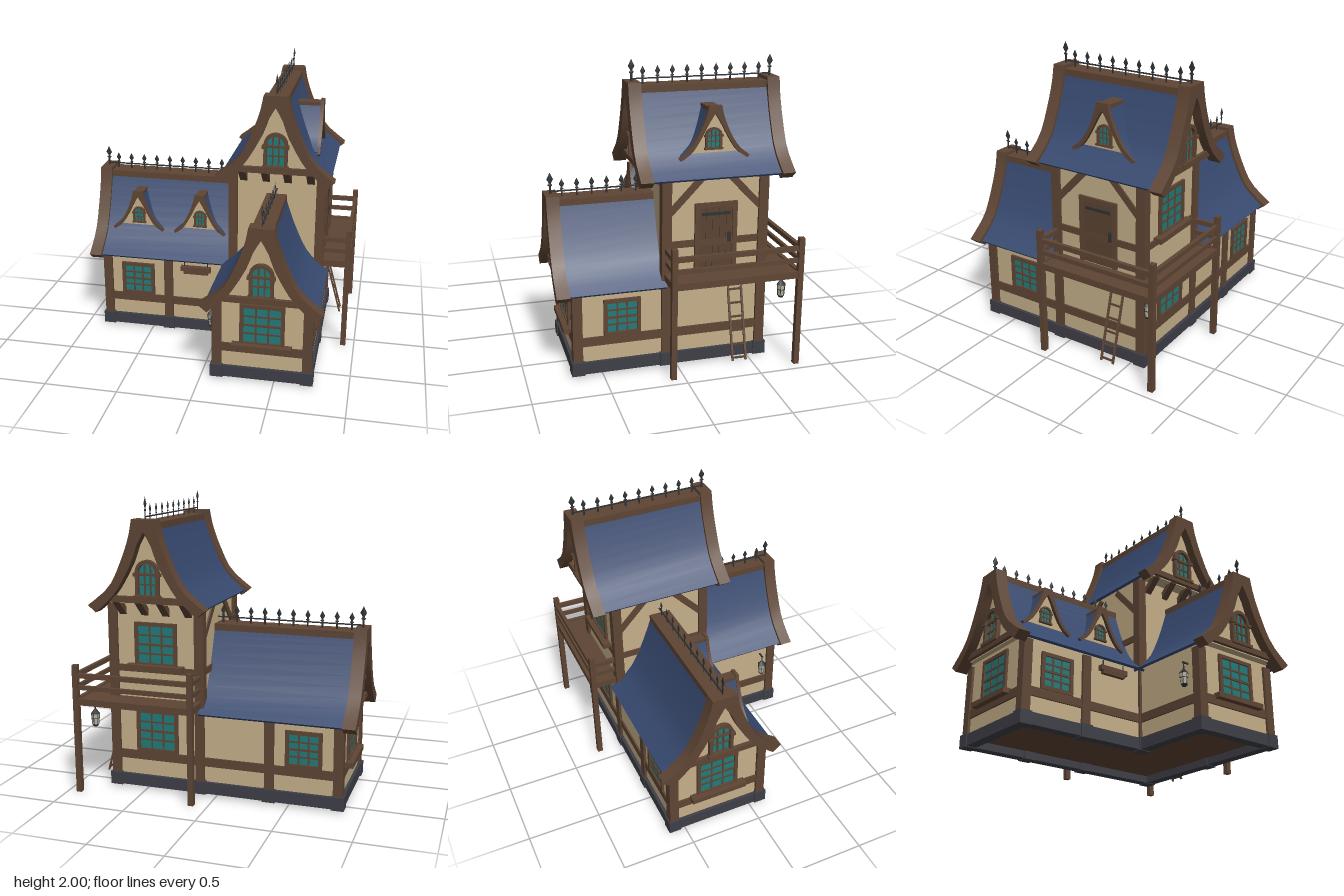
import * as THREE from 'three';
import { toCreasedNormals } from 'three/addons/utils/BufferGeometryUtils.js';

const mat = (name, color) => Object.assign(new THREE.MeshStandardMaterial({ color }), { name });
const plaster = mat('plaster', 0xc5af89), wood = mat('timber', 0x5e4534), doorWood = mat('door planks', 0x5a4232);
const blue = mat('roof blue', 0x37496f), stone = mat('stone', 0x3e3f47);
const glass = mat('teal glass', 0x217b7a), iron = mat('iron', 0x2f3235), pale = mat('lantern glass', 0xc4bda8);

const V = (x, y, z) => new THREE.Vector3(x, y, z);
function add(parent, name, geo, m, x = 0, y = 0, z = 0) {
  const mesh = new THREE.Mesh(geo, m);
  mesh.name = name;
  mesh.position.set(x, y, z);
  parent.add(mesh);
  return mesh;
}
const box = (p, name, m, w, h, d, x, y, z) => add(p, name, new THREE.BoxGeometry(w, h, d), m, x, y, z);
function group(parent, name, x = 0, y = 0, z = 0, rotY = 0) {
  const g = new THREE.Group();
  g.name = name;
  g.position.set(x, y, z);
  g.rotation.y = rotY;
  parent.add(g);
  return g;
}
// Straight timber between two points
function beam(parent, name, m, a, b, w, h) {
  const mesh = new THREE.Mesh(new THREE.BoxGeometry(w, h, a.distanceTo(b)), m);
  mesh.name = name;
  mesh.position.copy(a).add(b).multiplyScalar(0.5);
  mesh.lookAt(b);
  parent.add(mesh);
}

// Swept gable outlines: right half, y measured down from the gable top
const curve = (pts) => new THREE.SplineCurve(pts.map(([x, y]) => new THREE.Vector2(x, y))).getPoints(10);
const mirrored = (half) => new THREE.Shape([...half,
  ...half.filter((p) => p.x > 1e-6).reverse().map((p) => new THREE.Vector2(-p.x, p.y))]);
const bargeShape = mirrored([
  ...curve([[0.08, 0], [0.105, -0.12], [0.165, -0.28], [0.25, -0.44], [0.4, -0.565]]),
  ...curve([[0.345, -0.61], [0.25, -0.525], [0.18, -0.44], [0.09, -0.28], [0.05, -0.17], [0, -0.08]])]);
const dormerBargeShape = mirrored([
  ...curve([[0.07, 0], [0.1, -0.13], [0.17, -0.31], [0.27, -0.48], [0.395, -0.59]]),
  ...curve([[0.37, -0.62], [0.25, -0.53], [0.15, -0.37], [0.07, -0.21], [0, -0.09]])]);
const roofShape = mirrored([
  ...curve([[0.065, -0.05], [0.09, -0.13], [0.15, -0.29], [0.235, -0.45], [0.372, -0.57]]),
  ...curve([[0.362, -0.583], [0.222, -0.468], [0.133, -0.3], [0.072, -0.14], [0, -0.07]])]);
const infillShape = mirrored([
  ...curve([[0, -0.065], [0.055, -0.13], [0.115, -0.28], [0.2, -0.43], [0.31, -0.535]]),
  new THREE.Vector2(0.31, -0.55)]);
const extrude = (shape, depth) => toCreasedNormals(
  new THREE.ExtrudeGeometry(shape, { depth, bevelEnabled: false, curveSegments: 10 }), 0.6);

function archShape(w, h, y0) {
  const s = new THREE.Shape();
  s.moveTo(-w, y0).lineTo(w, y0).lineTo(w, y0 + h - w);
  s.absarc(0, y0 + h - w, w, 0, Math.PI, false);
  s.lineTo(-w, y0);
  return s;
}
function archWindow(parent, z, rotY) {
  const g = group(parent, 'archedWindow', 0, -0.51, z, rotY);
  const frame = archShape(0.08, 0.25, 0);
  frame.holes.push(archShape(0.058, 0.205, 0.022));
  add(g, 'archFrame', extrude(frame, 0.03), wood);
  add(g, 'archGlass', new THREE.ShapeGeometry(archShape(0.062, 0.21, 0.02), 10), glass, 0, 0, 0.006);
  for (const x of [-0.02, 0.02]) box(g, 'muntin', wood, 0.009, 0.2, 0.012, x, 0.12, 0.01);
  box(g, 'muntin', wood, 0.12, 0.009, 0.012, 0, 0.09, 0.01);
  box(g, 'archTransom', wood, 0.12, 0.016, 0.02, 0, 0.155, 0.012);
  for (const s of [-1, 1]) box(g, 'archCapital', wood, 0.036, 0.022, 0.04, s * 0.072, 0.155, 0.02);
  box(g, 'archSill', wood, 0.18, 0.022, 0.04, 0, 0.008, 0.02);
  return g;
}

// Flat pointed iron spike
const spikeGeo = new THREE.LatheGeometry([[0, 0], [0.05, 0], [0.05, 0.4], [0.1, 0.42], [0.1, 0.47], [0.05, 0.49],
  [0.05, 0.55], [0.145, 0.7], [0, 1]].map(([x, y]) => new THREE.Vector2(x, y)), 6);
function spike(parent, name, y, z, h) {
  add(parent, name, spikeGeo, iron, 0, y, z).scale.set(h * 0.3, h, h);
}

// Gabled roof running back from its front board at local z = 0
function gable(parent, name, [x, y, z], rotY, length, { scale = 1, widen = 1, both = false, dormer = false, spikes = 0 } = {}) {
  const g = group(parent, name, x, y, z, rotY);
  g.scale.set(scale * widen, scale, scale);
  const L = length / scale, D = dormer ? 0.045 : 0.085, inset = 0.065;
  const back = both ? inset : 0, lip = D - 0.025;
  add(g, 'roofCovering', extrude(roofShape, L - lip - (both ? lip : 0)), blue, 0, 0, both ? -L + lip : -L);
  add(g, 'gableWall', extrude(infillShape, L - inset - back), plaster, 0, 0, -L + back);
  box(g, 'ridgeBeam', wood, 0.14, 0.05, L - 0.02, 0, -0.047, -L / 2);
  for (const end of both ? [0, 1] : [0]) {
    add(g, 'bargeBoard', extrude(dormer ? dormerBargeShape : bargeShape, D), wood, 0, 0, end ? -L : -D);
    if (!dormer) box(g, 'gableBeam', wood, 0.58, 0.042, 0.04, 0, -0.522, end ? -L + 0.06 : -0.06);
    archWindow(g, end ? -L + inset : -inset, end * Math.PI).scale.x = dormer ? 1.15 : 1;
    if (spikes) spike(g, 'finial', -0.01, end ? -L + 0.04 : -0.04, 0.15);
  }
  if (spikes) {
    const stop = both ? L - 0.04 : L;
    box(g, 'ridgeRail', iron, 0.009, 0.008, stop - 0.04, 0, 0.014, -(stop + 0.04) / 2);
    for (let i = 0; i < spikes; i++) spike(g, 'ridgeSpike', -0.025, -0.115 - i * 0.0985, 0.12);
  }
}

function squareWindow(parent, [x, y, z], rotY, w, h, sill) {
  const g = group(parent, 'window', x, y, z, rotY), t = 0.025;
  box(g, 'pane', glass, w - t, h - t, 0.006, 0, 0, 0.002);
  for (const s of [-1, 1]) {
    box(g, 'windowJamb', wood, t, h, 0.03, s * (w - t) / 2, 0, 0.002);
    box(g, 'windowRail', wood, w, t, 0.03, 0, s * (h - t) / 2, 0.002);
    box(g, 'muntin', wood, 0.011, h - t, 0.012, s * (w - 2 * t) / 6, 0, 0.004);
    box(g, 'muntin', wood, w - t, 0.011, 0.012, 0, s * (h - 2 * t) / 4, 0.004);
  }
  box(g, 'transom', wood, w - t, 0.015, 0.016, 0, 0, 0.006);
  if (sill) box(g, 'windowSill', wood, 0.4, 0.035, 0.07, 0, -h / 2 - 0.002, 0.02);
}

function lantern(parent, x, y, z) {
  const g = group(parent, 'lantern', x, y, z);
  const cyl = (name, m, r1, r2, h, cy) => add(g, name, new THREE.CylinderGeometry(r1, r2, h, 6), m, 0, cy, 0);
  cyl('lanternGlass', pale, 0.028, 0.022, 0.074, 0.05);
  cyl('lanternBase', iron, 0.024, 0.015, 0.016, 0.006);
  cyl('lanternBand', iron, 0.0285, 0.028, 0.004, 0.055);
  cyl('lanternCap', iron, 0.007, 0.033, 0.032, 0.102);
  cyl('lanternHook', iron, 0.004, 0.004, 0.05, 0.137);
  for (let i = 0; i < 6; i++) {
    const a = i * Math.PI / 3, s = Math.sin(a), c = Math.cos(a);
    beam(g, 'lanternBar', iron, V(s * 0.022, 0.013, c * 0.022), V(s * 0.028, 0.088, c * 0.028), 0.004, 0.004);
  }
}

export function createModel() {
  const model = new THREE.Group();
  model.name = 'timberHouse';
  const Q = Math.PI / 2, F = 0.075, B = -0.577, W = -0.83, L = 0.11, R = 0.72, N = 0.663, mid = -0.255, cx = 0.415;

  // Plaster walls and recessed floors
  const block = (name, m, x0, x1, z0, z1, y0, y1) =>
    box(model, name, m, x1 - x0, y1 - y0, z1 - z0, (x0 + x1) / 2, (y0 + y1) / 2, (z0 + z1) / 2);
  const e = 0.014;
  block('towerWall', plaster, L - e, R + e, B - e, F + e, 0.09, 1.31);
  block('frontWingWall', plaster, L - e, R + e, F, N + e, 0.09, 0.61);
  block('sideWingWall', plaster, W - e, L, B - e, F + e, 0.09, 0.61);
  block('towerFloor', wood, L, R, B, N, 0.07, 0.09);
  block('sideWingFloor', wood, W, L, B, F, 0.07, 0.09);

  // Plinth and low beam around the outline
  const ring = [[W, F], [L, F], [L, N], [R, N], [R, B], [W, B]].map(([x, z]) => V(x, 0, z));
  ring.forEach((p, i) => {
    const q = ring[(i + 1) % ring.length], at = (v, y) => V(v.x, y, v.z);
    beam(model, 'plinth', stone, at(p, 0.06), at(q, 0.06), 0.072, 0.08);
    beam(model, 'lowBeam', wood, at(p, 0.24), at(q, 0.24), 0.052, 0.06);
  });
  // Posts on stone feet
  for (const [x, z, h] of [[W, F, 0.58], [W, B, 0.58], [-0.37, F, 0.58], [-0.37, B, 0.58], [L, N, 0.58],
    [R, N, 0.58], [L, F, 1.3], [R, F, 1.3], [L, B, 1.3], [R, B, 1.3]]) {
    box(model, 'post', wood, 0.064, h - 0.06, 0.064, x, (h + 0.06) / 2, z);
    box(model, 'postFoot', stone, 0.086, 0.09, 0.086, x, 0.06, z);
  }
  // Upper tower timbers
  for (const x of [L, R]) {
    beam(model, 'towerBeam', wood, V(x, 0.85, F), V(x, 0.85, B), 0.052, 0.045);
    for (const s of [-1, 1])
      beam(model, 'towerBrace', wood, V(x, 1.06, mid + s * 0.31), V(x, 1.29, mid + s * 0.09), 0.05, 0.045);
  }
  beam(model, 'towerBeam', wood, V(L, 0.85, B), V(R, 0.85, B), 0.052, 0.045);
  // Slanted brackets under the tower gables
  const bracket = new THREE.ExtrudeGeometry(new THREE.Shape([[0, 0], [0.11, 0.1], [0.11, 0.11], [0.06, 0.11], [0, 0.05]]
    .map(([x, y]) => new THREE.Vector2(x, y))), { depth: 0.05, bevelEnabled: false }).translate(0, 0, -0.025);
  for (const dx of [-0.2325, -0.075, 0.075, 0.2325]) {
    add(model, 'bracket', bracket, wood, cx + dx, 1.215, F + e).rotation.y = -Q;
    add(model, 'bracket', bracket, wood, cx + dx, 1.215, B - e).rotation.y = Q;
  }

  // Roofs and dormers
  gable(model, 'towerRoof', [cx, 1.86, 0.26], 0, 1.02, { both: true, spikes: 9, widen: 1.01 });
  gable(model, 'frontWingRoof', [cx, 1.155, 0.8], 0, 0.72, { spikes: 6, widen: 1.01 });
  gable(model, 'sideWingRoof', [-0.945, 1.155, mid], -Q, 1.05, { spikes: 10, widen: 1.065 });
  for (const x of [-0.62, -0.16])
    gable(model, 'sideDormer', [x, 1.04, -0.01], 0, 0.2, { scale: 0.49, dormer: true });
  gable(model, 'towerDormer', [0.69, 1.73, mid], Q, 0.2, { scale: 0.56, widen: 1.07, dormer: true });

  // Windows
  squareWindow(model, [cx, 0.42, N + e], 0, 0.3, 0.3, true);
  squareWindow(model, [-0.6, 0.395, F + e], 0, 0.245, 0.25);
  squareWindow(model, [R + e, 0.395, 0.368], Q, 0.245, 0.25);
  squareWindow(model, [W - e, 0.42, mid], -Q, 0.3, 0.3, true);
  squareWindow(model, [-0.6, 0.395, B - e], Math.PI, 0.245, 0.25);
  squareWindow(model, [cx, 0.42, B - e], Math.PI, 0.3, 0.3);
  squareWindow(model, [cx, 1.02, B - e], Math.PI, 0.3, 0.3, true);

  // Balcony door
  const door = group(model, 'door', R + e, 0.66, mid, Q);
  for (let i = -2; i <= 2; i++) box(door, 'doorPlank', doorWood, 0.043, 0.43, 0.012, i * 0.0455, 0.215, 0.004);
  box(door, 'doorBack', wood, 0.23, 0.43, 0.006, 0, 0.215, 0.002);
  for (const s of [-1, 1]) box(door, 'doorJamb', wood, 0.032, 0.455, 0.03, s * 0.127, 0.228, 0.002);
  box(door, 'doorLintel', wood, 0.285, 0.032, 0.03, 0, 0.439, 0.002);
  box(door, 'doorHinge', iron, 0.19, 0.02, 0.008, 0, 0.38, 0.012);
  box(door, 'doorHandle', iron, 0.022, 0.065, 0.01, 0.092, 0.215, 0.012);

  // Balcony wrapping the side and back of the tower
  const X = 0.922, Z = -0.775;
  block('balconyDeckSide', wood, R, X, Z, F, 0.622, 0.65);
  block('balconyDeckBack', wood, L, R, Z, B, 0.622, 0.65);
  const edge = [[R + 0.03, F], [X, F], [X, Z], [L, Z], [L, B - 0.03]];
  for (let i = 0; i < 4; i++)
    for (const [y, h, w] of [[0.638, 0.045, 0.03], [0.736, 0.03, 0.02], [0.818, 0.032, 0.026]])
      beam(model, 'balconyRail', wood, V(edge[i][0], y, edge[i][1]), V(edge[i + 1][0], y, edge[i + 1][1]), w, h);
  for (const [x, z] of edge.slice(1, 4)) box(model, 'balconyPost', wood, 0.037, 0.89, 0.037, x, 0.445, z);

  // Ladder
  const foot = V(0.865, 0.04, 0), head = V(0.73, 0.535, 0);
  for (const z of [-0.352, -0.443])
    beam(model, 'ladderRail', wood, foot.clone().setZ(z), head.clone().setZ(z), 0.014, 0.011);
  for (let i = 0; i < 6; i++) {
    const p = foot.clone().lerp(head, 0.04 + i * 0.178);
    box(model, 'ladderRung', wood, 0.01, 0.012, 0.096, p.x, p.y, -0.3975);
  }

  // Lanterns and hanging board
  lantern(model, 0.055, 0.328, 0.575);
  box(model, 'lanternArm', iron, 0.06, 0.01, 0.01, 0.075, 0.49, 0.575);
  lantern(model, 0.83, 0.45, -0.69);
  const sign = group(model, 'hangingBoard', -0.16, 0.51, 0.115);
  box(sign, 'boardTop', wood, 0.22, 0.035, 0.035, 0, 0.008, 0);
  box(sign, 'boardBottom', wood, 0.18, 0.025, 0.03, 0, -0.018, 0);
  for (const x of [-0.085, 0.085]) box(sign, 'boardHanger', iron, 0.006, 0.04, 0.006, x, 0.044, 0);
  return model;
}
